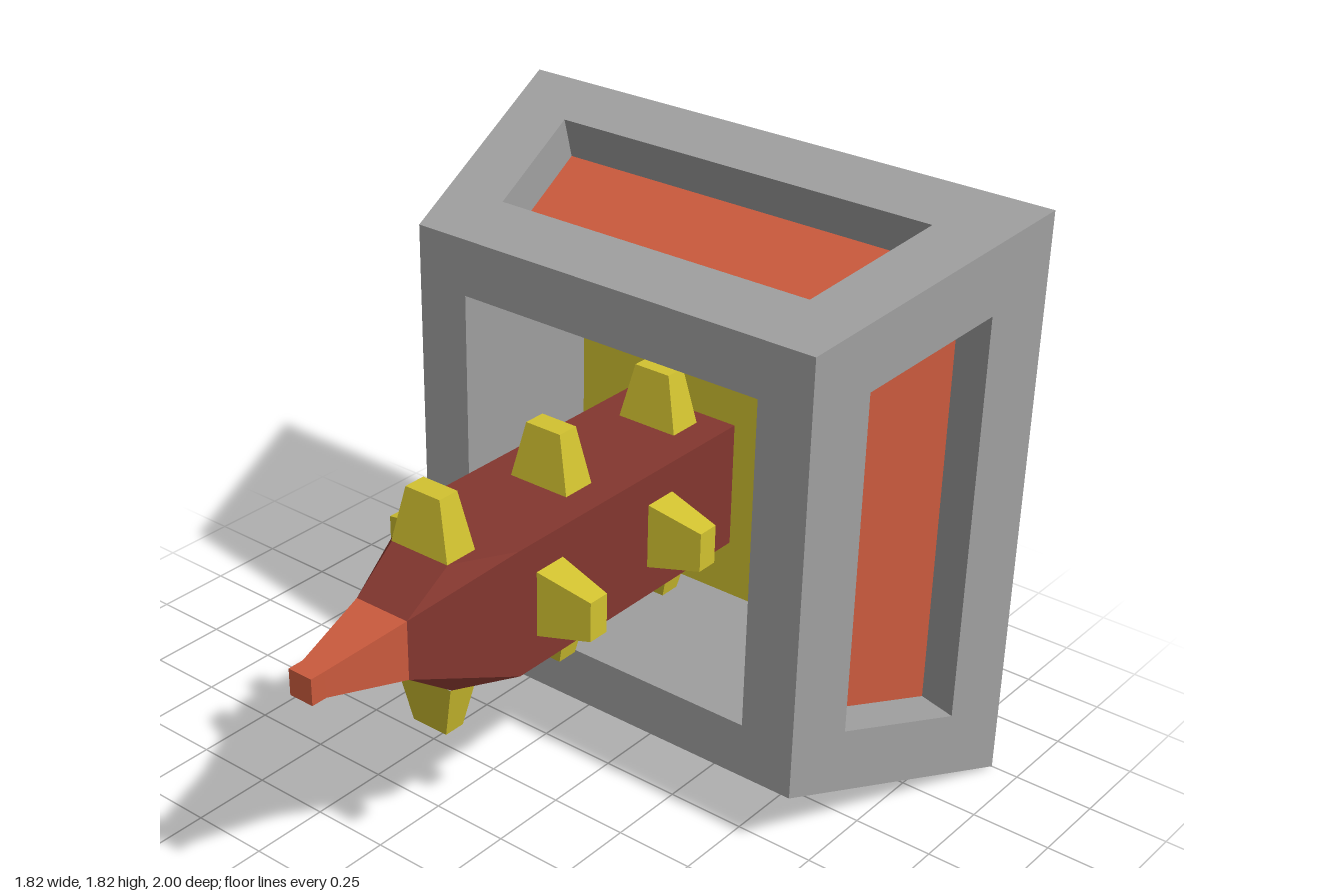
import * as THREE from 'three';

const mat = (name, color) => Object.assign(new THREE.MeshStandardMaterial({ color }), { name });

// flat-shaded geometry from convex polygons (fan triangulated)
function polyGeometry(polys) {
  const pos = [];
  for (const p of polys)
    for (let i = 1; i < p.length - 1; i++) pos.push(...p[0], ...p[i], ...p[i + 1]);
  const g = new THREE.BufferGeometry();
  g.setAttribute('position', new THREE.Float32BufferAttribute(pos, 3));
  g.computeVertexNormals();
  return g;
}

// quads joining successive four-corner rings
function bands(rings) {
  const out = [];
  for (let r = 0; r < rings.length - 1; r++)
    for (let i = 0; i < 4; i++) {
      const j = (i + 1) % 4;
      out.push([rings[r][i], rings[r][j], rings[r + 1][j], rings[r + 1][i]]);
    }
  return out;
}

// square ring facing +z
const square = (h, z) => [[-h, -h, z], [h, -h, z], [h, h, z], [-h, h, z]];
// rectangular ring facing +y
const rect = (w, d, y) => [[-w, y, d], [w, y, d], [w, y, -d], [-w, y, -d]];

export function createModel() {
  const grey = mat('grey casing', 0xa0a0a0);
  const yellow = mat('yellow', 0xd2c230);
  const orange = mat('orange', 0xca5a3d);
  const red = mat('dark red', 0x84372f);

  const model = new THREE.Group();
  const body = new THREE.Group();
  body.name = 'assembly';
  body.position.y = 0.912;
  model.add(body);

  const add = (name, geometry, material, parent = body) => {
    const m = new THREE.Mesh(geometry, material);
    m.name = name;
    parent.add(m);
    return m;
  };

  // casing: front rim with tapering pocket, plus the back plate
  add('casingFront', polyGeometry(bands([square(0.695, -0.21), square(0.52, -0.21), square(0.37, -0.57)])), grey);
  add('pocketBack', polyGeometry([square(0.37, -0.57)]), yellow);
  add('casingBack', polyGeometry([square(0.912, -1).reverse()]), grey);

  // four sloping sides, each with a recessed panel
  const slope = (0.912 - 0.695) / 0.79;
  const edge = (w, z) => {
    const y = 0.695 + slope * (-0.21 - z);
    return [[-w, y, z], [w, y, z]];
  };
  const trapezoid = (wf, zf, wb, zb) => [...edge(wf, zf), ...edge(wb, zb).reverse()];
  const outer = trapezoid(0.695, -0.21, 0.912, -1);
  const opening = trapezoid(0.54, -0.4, 0.65, -0.81);
  const depth = 0.13, len = Math.hypot(1, slope);
  const floor = opening.map(([x, y, z]) => [x, y - depth / len, z - depth * slope / len]);
  const sideGeo = polyGeometry(bands([outer, opening, floor]));
  const panelGeo = polyGeometry([floor]);
  for (let k = 0; k < 4; k++) {
    const side = new THREE.Group();
    side.name = 'casingSide';
    side.rotation.z = k * Math.PI / 2;
    body.add(side);
    add('sideWall', sideGeo, grey, side);
    add('recessedPanel', panelGeo, orange, side);
  }

  // square shaft
  add('shaft', polyGeometry(bands([square(0.195, -0.57), square(0.195, 0.38)])), red);

  // faceted nose: one half, repeated by a half turn
  const a = [-0.1, 0.195, 0.55], b = [0.1, 0.195, 0.55];
  const c = [0.195, 0.195, 0.38], d = [-0.195, 0.195, 0.38];
  const e = [0.09, 0.09, 0.7], f = [-0.09, 0.09, 0.7];
  const noseGeo = polyGeometry([
    [a, b, c, d], [f, e, b, a], [b, e, c], [a, d, f],
    [[0.09, -0.09, 0.7], [0.195, -0.195, 0.38], c, e],
  ]);
  for (const turn of [0, Math.PI]) add('nose', noseGeo, red).rotation.z = turn;

  // tapered tip
  const tipEnd = square(0.04, 1);
  add('tip', polyGeometry([...bands([square(0.09, 0.7), square(0.04, 0.95), tipEnd]), tipEnd]), orange);

  // studs: three on top and bottom, two on each side
  const studTop = rect(0.06, 0.034, 0.365);
  const studGeo = polyGeometry([...bands([rect(0.1, 0.054, 0.195), studTop]), studTop]);
  for (let k = 0; k < 4; k++)
    for (const z of k % 2 ? [0.255, -0.225] : [0.5, 0.02, -0.46]) {
      const s = add('stud', studGeo, yellow);
      s.rotation.z = k * Math.PI / 2;
      s.position.z = z;
    }

  return model;
}
